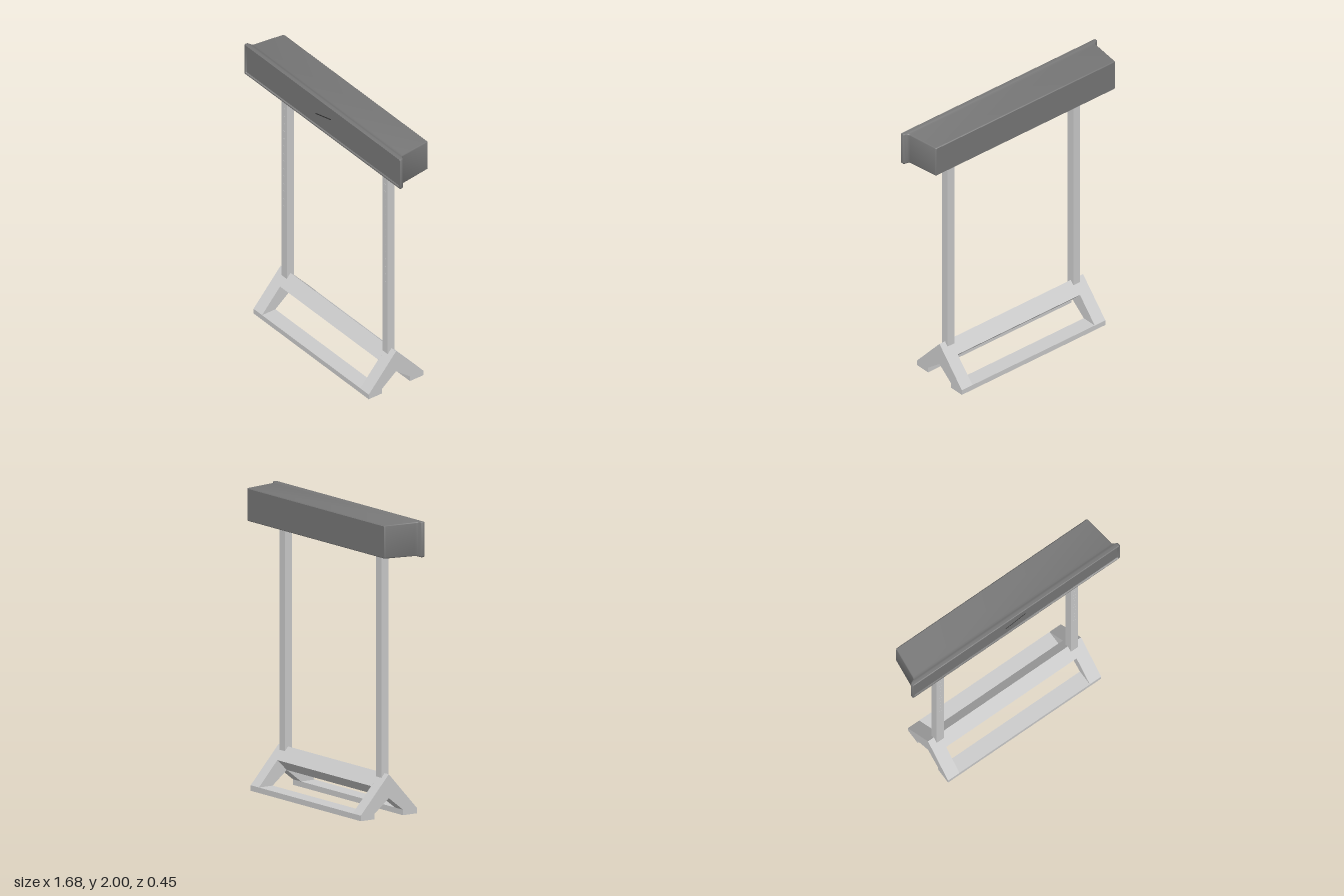
import * as THREE from 'three';
import { toCreasedNormals } from 'three/addons/utils/BufferGeometryUtils.js';

const grey = new THREE.MeshStandardMaterial({ color: 0xcccccc });
const dark = new THREE.MeshStandardMaterial({ color: 0x777777 });
const black = new THREE.MeshStandardMaterial({ color: 0x333333 });

function add(parent, name, geometry, material, x = 0, y = 0, z = 0) {
  const mesh = new THREE.Mesh(geometry, material);
  mesh.name = name;
  mesh.position.set(x, y, z);
  parent.add(mesh);
  return mesh;
}

// Extrudes a (z, y) profile along x, centred on x = 0
function alongX(points, width) {
  const shape = new THREE.Shape(points.map(([z, y]) => new THREE.Vector2(z, y)));
  const g = new THREE.ExtrudeGeometry(shape, { depth: width, bevelEnabled: false });
  return g.translate(0, 0, -width / 2).rotateY(Math.PI / 2);
}

// Outline of a rounded rectangle, counter-clockwise seen from the front
function ring([hx, y0, y1, z, r]) {
  const pts = [], steps = 4;
  const corners = [[hx - r, y1 - r], [-hx + r, y1 - r], [-hx + r, y0 + r], [hx - r, y0 + r]];
  corners.forEach(([cx, cy], q) => {
    for (let i = 0; i <= steps; i++) {
      const a = (q + i / steps) * Math.PI / 2;
      pts.push([cx + r * Math.cos(a), cy + r * Math.sin(a), z]);
    }
  });
  return pts;
}

// Skin over rounded rectangles from back to front, closed at both ends
function loft(sections) {
  const rings = sections.map(ring), n = rings[0].length;
  const positions = rings.flat(2), index = [];
  for (let s = 0; s < rings.length - 1; s++) {
    for (let i = 0; i < n; i++) {
      const a = s * n + i, b = s * n + (i + 1) % n;
      index.push(a, b, b + n, a, b + n, a + n);
    }
  }
  const last = (rings.length - 1) * n;
  for (let i = 1; i < n - 1; i++) {
    index.push(0, i + 1, i);
    index.push(last, last + i, last + i + 1);
  }
  const g = new THREE.BufferGeometry();
  g.setAttribute('position', new THREE.Float32BufferAttribute(positions, 3));
  g.setIndex(index);
  return toCreasedNormals(g, 0.6);
}

export function createModel() {
  const model = new THREE.Group();
  model.name = 'stand';

  // A-shaped base: two end frames, a diamond ridge and two foot rails
  const base = new THREE.Group();
  base.name = 'base';
  model.add(base);
  const endProfile = [
    [0.226, 0], [0.226, 0.037], [0, 0.288], [-0.226, 0.037], [-0.226, 0],
    [-0.115, 0], [-0.115, 0.037], [0, 0.128], [0.115, 0.037], [0.115, 0],
  ];
  const ridgeProfile = [[0, 0.128], [0.077, 0.203], [0, 0.288], [-0.077, 0.203]];
  add(base, 'ridge', alongX(ridgeProfile, 1.06), grey);
  for (const side of [-1, 1]) {
    add(base, 'endFrame', alongX(endProfile, 0.092), grey, side * 0.574);
    add(base, 'footRail', new THREE.BoxGeometry(1.06, 0.037, 0.111), grey, 0, 0.0185, side * 0.1705);
  }

  // Upright posts with a row of small slots on the upper front
  for (const side of [-1, 1]) {
    const post = new THREE.Group();
    post.name = side > 0 ? 'leftPost' : 'rightPost';
    post.position.x = side * 0.543;
    model.add(post);
    add(post, 'upright', new THREE.BoxGeometry(0.058, 1.55, 0.058), grey, 0, 1.025, 0.003);
    for (let i = 0; i < 16; i++) {
      add(post, 'slot', new THREE.BoxGeometry(0.016, 0.004, 0.002), grey, 0, 0.82 + i * 0.06, 0.032);
    }
  }

  // Tapered head box flaring into a front flange with a recessed panel
  const head = new THREE.Group();
  head.name = 'head';
  model.add(head);
  add(head, 'housing', loft([
    [0.770, 1.778, 1.989, -0.146, 0.006],
    [0.776, 1.773, 1.994, -0.140, 0.008],
    [0.803, 1.769, 1.997, 0.082, 0.008],
    [0.808, 1.768, 1.997, 0.094, 0.008],
    [0.818, 1.767, 1.998, 0.101, 0.008],
    [0.833, 1.764, 1.999, 0.106, 0.009],
    [0.840, 1.762, 2.000, 0.114, 0.010],
    [0.840, 1.762, 2.000, 0.130, 0.010],
    [0.836, 1.766, 1.996, 0.135, 0.008],
    [0.826, 1.775, 1.987, 0.135, 0.005],
    [0.823, 1.778, 1.984, 0.125, 0.004],
  ]), dark);
  const bar = add(head, 'panelMark', new THREE.BoxGeometry(0.166, 0.006, 0.004), black, 0, 1.88, 0.126);
  bar.rotation.z = 0.24;

  return model;
}
